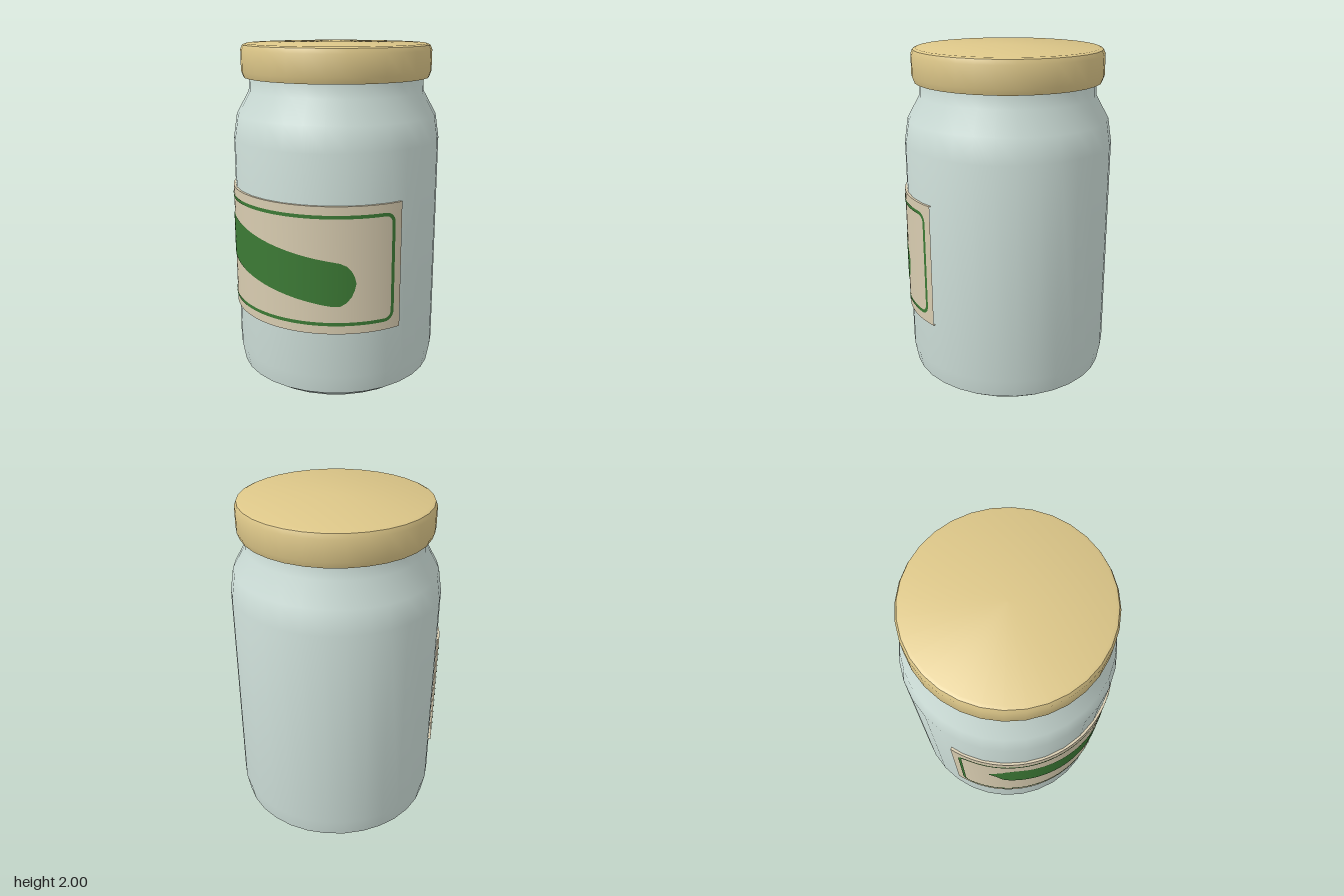
import * as THREE from 'three';
import { toCreasedNormals } from 'three/addons/utils/BufferGeometryUtils.js';

const LABEL_R = 0.622;
const PAINT_R = 0.625;

const glass = new THREE.MeshStandardMaterial({ color: 0xcfe0da });
glass.name = 'paleGlass';
const gold = new THREE.MeshStandardMaterial({ color: 0xdcc688 });
gold.name = 'goldLid';
const paper = new THREE.MeshStandardMaterial({ color: 0xd8ccb0, side: THREE.DoubleSide });
paper.name = 'creamPaper';
const green = new THREE.MeshStandardMaterial({ color: 0x3c7a35, side: THREE.DoubleSide });
green.name = 'pickleGreen';

function addMesh(group, name, geometry, material) {
  const mesh = new THREE.Mesh(geometry, material);
  mesh.name = name;
  group.add(mesh);
}

// Turned part; edges sharper than 40 degrees stay crisp
function turned(profile, segments, start = 0, length = Math.PI * 2) {
  const points = profile.map(([r, y]) => new THREE.Vector2(r, y));
  return toCreasedNormals(new THREE.LatheGeometry(points, segments, start, length), 0.7);
}

// Painted ribbon between pairs of flat [u, y] points, wrapped round the jar
function wrappedStrip(pairs, toAngle) {
  const positions = [], normals = [], indices = [];
  const put = ([u, y]) => {
    const a = toAngle(u);
    positions.push(PAINT_R * Math.sin(a), y, PAINT_R * Math.cos(a));
    normals.push(Math.sin(a), 0, Math.cos(a));
  };
  const mix = (p, q, t) => [p[0] + (q[0] - p[0]) * t, p[1] + (q[1] - p[1]) * t];
  for (let i = 0; i < pairs.length - 1; i++) {
    const [a, b] = [pairs[i], pairs[i + 1]];
    const steps = Math.max(1, Math.ceil(Math.abs(b[0][0] - a[0][0]) / 0.03));
    for (let k = i ? 1 : 0; k <= steps; k++) {
      put(mix(a[0], b[0], k / steps));
      put(mix(a[1], b[1], k / steps));
    }
  }
  for (let v = 0; v + 3 < positions.length / 3; v += 2) {
    indices.push(v, v + 2, v + 3, v, v + 3, v + 1);
  }
  const geometry = new THREE.BufferGeometry();
  geometry.setAttribute('position', new THREE.Float32BufferAttribute(positions, 3));
  geometry.setAttribute('normal', new THREE.Float32BufferAttribute(normals, 3));
  geometry.setIndex(indices);
  return geometry;
}

// Rounded rectangular frame as [outer, inner] pairs, counterclockwise
function framePairs(halfWidth, halfHeight, centreY, radius, thickness) {
  const pairs = [];
  const corners = [[-1, -1], [1, -1], [1, 1], [-1, 1]];
  corners.forEach(([sx, sy], c) => {
    const cx = sx * (halfWidth - radius);
    const cy = centreY + sy * (halfHeight - radius);
    for (let k = 0; k <= 6; k++) {
      const a = Math.PI + (c + k / 6) * Math.PI / 2;
      pairs.push([radius, radius - thickness].map(
        (r) => [cx + r * Math.cos(a), cy + r * Math.sin(a)]));
    }
  });
  pairs.push(pairs[0]);
  return pairs;
}

export function createModel() {
  const model = new THREE.Group();
  model.name = 'pickleJar';

  // Jar body with chamfered foot, shoulder and neck
  addMesh(model, 'jarBody', turned([
    [0, 0], [0.52, 0], [0.59, 0.05], [0.61, 0.16], [0.61, 1.45],
    [0.588, 1.59], [0.515, 1.72], [0.51, 1.81],
  ], 32), glass);

  // Screw lid with a slightly domed top
  addMesh(model, 'lid', turned([
    [0.49, 1.8], [0.543, 1.8], [0.556, 1.835], [0.556, 1.955],
    [0.545, 1.982], [0.528, 1.99], [0, 2],
  ], 32), gold);

  // Paper label round the front
  const halfAngle = 1.306;
  addMesh(model, 'label', turned([
    [0.607, 0.435], [LABEL_R, 0.435], [LABEL_R, 1.17], [0.607, 1.17], [0.607, 0.435],
  ], 48, -halfAngle, halfAngle * 2), paper);

  // Printed frame line
  addMesh(model, 'labelBorder', wrappedStrip(
    framePairs(0.767, 0.318, 0.803, 0.06, 0.02), (s) => s / LABEL_R), green);

  // Printed pickle: x, lower edge, upper edge
  const pickle = [
    [-0.503, 0.875, 0.89], [-0.477, 0.846, 0.93], [-0.45, 0.778, 0.96],
    [-0.43, 0.76, 0.99], [-0.397, 0.75, 1.008], [-0.36, 0.742, 1.008],
    [-0.333, 0.737, 0.998], [0.38, 0.6, 0.86], [0.413, 0.6, 0.852],
    [0.44, 0.622, 0.835], [0.46, 0.656, 0.804], [0.471, 0.695, 0.77], [0.476, 0.728, 0.738],
  ].map(([x, low, high]) => [[x, low], [x, high]]);
  addMesh(model, 'pickle', wrappedStrip(pickle, (x) => Math.asin(x / PAINT_R)), green);

  model.position.z = -0.005;
  return model;
}
